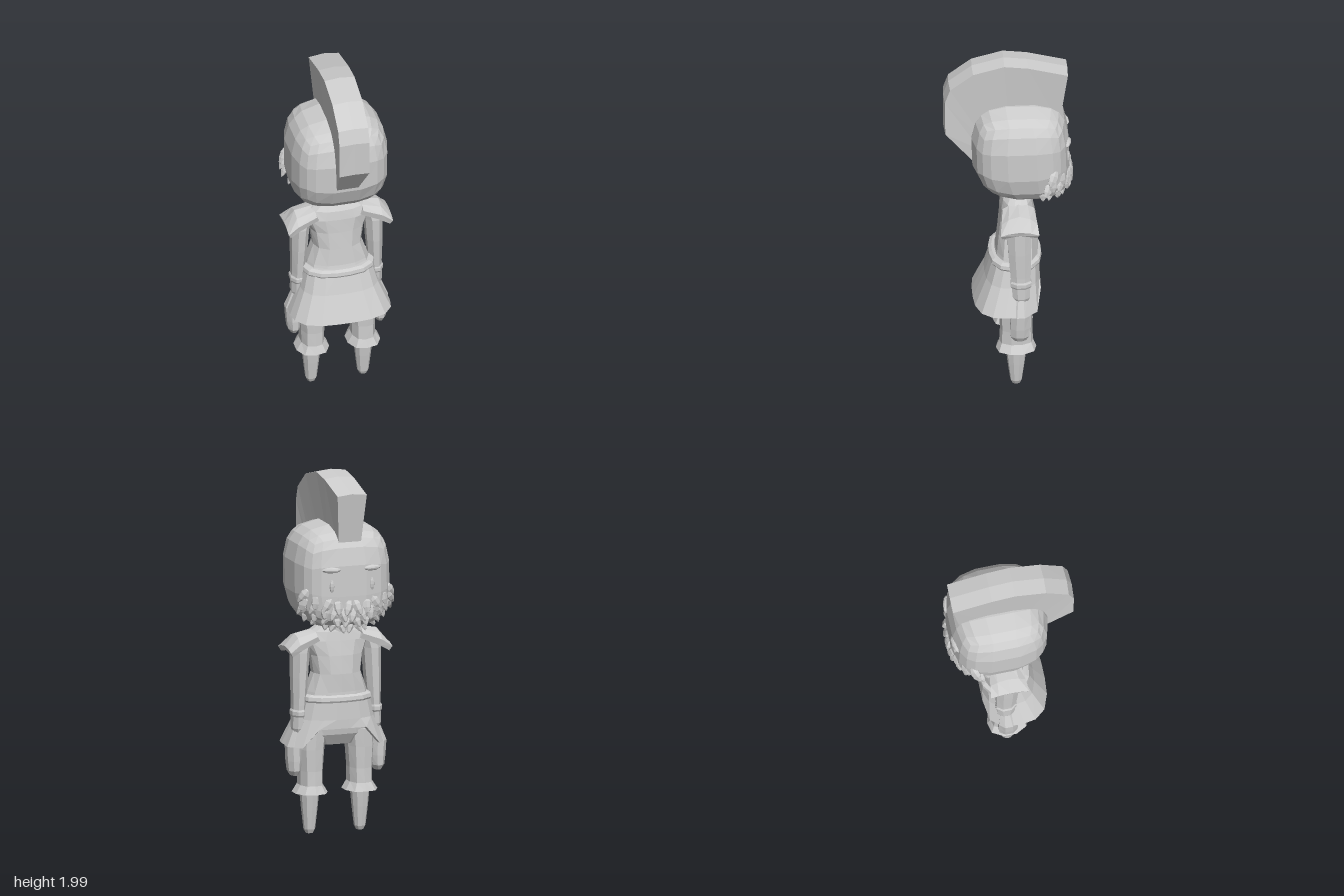
import * as THREE from 'three';

const clay = new THREE.MeshStandardMaterial({ color: 0xcccccc });
clay.name = 'clay grey';
clay.flatShading = true;

// Rounded horizontal ring of points; p = 2 is an ellipse, higher is boxier
function ring(cx, y, cz, rx, rz, n = 12, p = 2.6) {
  const pts = [];
  for (let i = 0; i < n; i++) {
    const a = ((i + 0.5) / n) * Math.PI * 2, c = Math.cos(a), s = Math.sin(a);
    const k = Math.pow(Math.abs(c) ** p + Math.abs(s) ** p, -1 / p);
    pts.push([cx + rx * k * c, y, cz + rz * k * s]);
  }
  return pts;
}

// Closed skin over a row of equal cross-sections, turned outward by its volume
function loft(rings) {
  const tris = [], n = rings[0].length;
  for (let r = 0; r < rings.length - 1; r++) {
    for (let i = 0; i < n; i++) {
      const j = (i + 1) % n;
      const a = rings[r][i], b = rings[r][j], c = rings[r + 1][j], d = rings[r + 1][i];
      tris.push([a, b, c], [a, c, d]);
    }
  }
  const cap = (pts, flip) => {
    const m = [0, 1, 2].map((k) => pts.reduce((s, q) => s + q[k], 0) / n);
    pts.forEach((q, i) => {
      const w = pts[(i + 1) % n];
      tris.push(flip ? [m, w, q] : [m, q, w]);
    });
  };
  cap(rings[0], true);
  cap(rings[rings.length - 1], false);
  const volume = tris.reduce((s, [a, b, c]) => s
    + a[0] * (b[1] * c[2] - b[2] * c[1])
    + a[1] * (b[2] * c[0] - b[0] * c[2])
    + a[2] * (b[0] * c[1] - b[1] * c[0]), 0);
  const out = tris.flatMap(([a, b, c]) => (volume < 0 ? [a, c, b] : [a, b, c])).flat();
  const g = new THREE.BufferGeometry();
  g.setAttribute('position', new THREE.Float32BufferAttribute(out, 3));
  g.computeVertexNormals();
  return g;
}

export function createModel() {
  const model = new THREE.Group();
  const add = (name, geometry, parent = model) => {
    const m = new THREE.Mesh(geometry, clay);
    m.name = name;
    parent.add(m);
    return m;
  };
  const pair = (name, geometry) => {
    add(name + 'Left', geometry);
    add(name + 'Right', geometry).scale.x = -1;
  };
  const stack = (rows, n, p) => loft(rows.map((r) => ring(...r, n, p)));

  // Head: a box rounded to a squarish ball, tucked in under the back
  const head = new THREE.BoxGeometry(2, 2, 2, 5, 5, 5);
  const pos = head.attributes.position;
  const spread = (t) => Math.sign(t) * (Math.abs(t) > 0.9 ? 1 : Math.abs(t) > 0.4 ? 0.7 : 0.3);
  for (let i = 0; i < pos.count; i++) {
    const v = [spread(pos.getX(i)), spread(pos.getY(i)), spread(pos.getZ(i))];
    const k = Math.pow(v.reduce((s, t) => s + Math.abs(t) ** 3, 0), -1 / 3);
    const [x, y, z] = v.map((t) => t * k);
    pos.setXYZ(i, x * 0.272, 1.45 + y * 0.285, -0.055 + z * 0.268 - (y < 0 ? 0.065 * y * y : 0));
  }
  head.computeVertexNormals();
  add('head', head);

  // Crest: outer and inner rim points (z, y), wider along the outer rim
  const crest = [
    [0.35, 1.57, 0.2, 1.38], [0.353, 1.77, 0.16, 1.45], [0.325, 1.85, 0.13, 1.5],
    [0.2, 1.945, 0.07, 1.55], [0.03, 1.99, 0, 1.58], [-0.1, 1.975, -0.1, 1.6],
    [-0.315, 1.92, -0.27, 1.6],
  ];
  add('crest', loft(crest.map(([oz, oy, iz, iy]) => {
    const dz = oz - iz, dy = oy - iy, l = Math.hypot(dz, dy);
    return [[-0.084, oy, oz], [0, oy + 0.01 * dy / l, oz + 0.01 * dz / l], [0.084, oy, oz],
      [0.06, iy, iz], [-0.06, iy, iz]];
  })));

  // Eyes and eyebrows
  const eye = new THREE.SphereGeometry(1, 8, 6);
  eye.scale(0.014, 0.036, 0.012).translate(0.115, 1.425, -0.311);
  pair('eye', eye);
  const brow = new THREE.SphereGeometry(1, 8, 6);
  brow.scale(0.052, 0.016, 0.018).rotateY(-0.2).translate(0.118, 1.515, -0.312);
  pair('eyebrow', brow);

  // Beard: rows of pointed tufts around the jaw, rising to the cheeks
  const beard = new THREE.Group();
  beard.name = 'beard';
  model.add(beard);
  const tuft = new THREE.SphereGeometry(1, 6, 5);
  const tp = tuft.attributes.position;
  for (let i = 0; i < tp.count; i++) {
    const y = tp.getY(i), w = y < 0 ? 1 + 0.5 * y : 1;
    tp.setXYZ(i, tp.getX(i) * w * 0.03, y * 0.052, tp.getZ(i) * w * 0.022);
  }
  for (let row = 0; row < 4; row++) {
    const count = 11 - (row % 2);
    for (let i = 0; i < count; i++) {
      const t = (i / (count - 1)) * 2 - 1;
      const m = add('beardTuft', tuft, beard);
      const width = [0.215, 0.245, 0.25, 0.25][row];
      const depth = [-0.27, -0.3, -0.322, -0.325][row];
      m.position.set(t * width, 1.2 + row * 0.035 + 0.06 * t * t, depth + 0.1 * Math.abs(t) ** 2.5);
      m.rotation.set(0.4, -t * 0.9, t * 0.7 + (i % 2 ? 0.25 : -0.25));
    }
  }

  // Neck and torso
  add('neck', stack([[0, 1.1, -0.05, 0.09, 0.07], [0, 1.22, -0.06, 0.08, 0.065]], 10, 2));
  add('torso', stack([
    [0, 0.74, -0.035, 0.185, 0.125], [0, 0.8, -0.04, 0.17, 0.115],
    [0, 0.9, -0.045, 0.135, 0.11], [0, 1.0, -0.045, 0.15, 0.1],
    [0, 1.08, -0.04, 0.185, 0.09], [0, 1.13, -0.04, 0.15, 0.08], [0, 1.165, -0.045, 0.1, 0.06],
  ], 14));

  // Belt and flared skirt, its hem raised at the front
  add('belt', stack([
    [0, 0.745, -0.03, 0.198, 0.14], [0, 0.755, -0.03, 0.204, 0.145],
    [0, 0.775, -0.03, 0.2, 0.142], [0, 0.785, -0.03, 0.18, 0.125],
  ], 16));
  const hem = (pts) => pts.map(([x, y, z]) => (z < -0.1 && Math.abs(x) < 0.2
    ? [x, 0.6, -0.165] : [x, y, Math.max(z, -0.16)]));
  add('skirt', loft([
    ring(0, 0.765, -0.03, 0.185, 0.13, 20, 3), ring(0, 0.65, -0.015, 0.215, 0.15, 20, 3),
    hem(ring(0, 0.5, 0.01, 0.28, 0.19, 20, 3)),
    hem(ring(0, 0.5, 0.01, 0.265, 0.175, 20, 3)).map(([x, y, z]) => [x, y + 0.005, z]),
    ring(0, 0.64, -0.015, 0.19, 0.13, 20, 3),
  ]));

  // Hips, trouser legs with flared cuffs, and tapered feet
  add('hips', stack([
    [0, 0.5, -0.03, 0.14, 0.06], [0, 0.56, -0.03, 0.2, 0.095], [0, 0.7, -0.03, 0.185, 0.12],
  ], 14));
  pair('trouserLeg', stack([
    [0.135, 0.58, -0.03, 0.08, 0.095], [0.142, 0.48, -0.03, 0.075, 0.092],
    [0.142, 0.36, -0.03, 0.066, 0.088], [0.142, 0.28, -0.03, 0.065, 0.092],
    [0.143, 0.235, -0.03, 0.093, 0.11], [0.145, 0.245, -0.03, 0.05, 0.06],
  ], 10));
  pair('foot', stack([
    [0.145, 0.26, -0.03, 0.054, 0.06], [0.145, 0.14, -0.03, 0.043, 0.047],
    [0.145, 0.03, -0.03, 0.031, 0.032], [0.145, 0.008, -0.03, 0.02, 0.022],
  ], 10));

  // Sleeves, cuffs and hands
  pair('arm', stack([
    [0.185, 1.09, -0.045, 0.045, 0.06], [0.205, 1.02, -0.043, 0.05, 0.068],
    [0.21, 0.88, -0.045, 0.045, 0.064], [0.215, 0.73, -0.05, 0.037, 0.056],
    [0.22, 0.6, -0.053, 0.034, 0.048], [0.22, 0.57, -0.053, 0.024, 0.036],
  ], 8));
  pair('cuff', stack([
    [0.219, 0.665, -0.052, 0.037, 0.053], [0.218, 0.675, -0.052, 0.042, 0.059],
    [0.218, 0.695, -0.052, 0.042, 0.059], [0.217, 0.705, -0.052, 0.037, 0.054],
  ], 8));
  pair('hand', stack([
    [0.222, 0.59, -0.05, 0.028, 0.036], [0.243, 0.5, -0.048, 0.044, 0.052],
    [0.24, 0.42, -0.045, 0.042, 0.055], [0.24, 0.365, -0.045, 0.035, 0.052],
    [0.24, 0.338, -0.045, 0.02, 0.034],
  ], 8));

  // Shoulder pads: thin arched plates sloping outward
  const arch = (x, y, half, drop, thick) => {
    const top = [-1, -0.6, 0, 0.6, 1].map((t) => [x, y - drop * t * t, -0.043 + half * t]);
    const under = top.map(([a, b, c]) => [a - thick * 0.6, b - thick, -0.043 + (c + 0.043) * 0.9]);
    return [...top, ...under.reverse()];
  };
  pair('shoulderPad', loft([
    arch(0.13, 1.14, 0.085, 0.03, 0.025), arch(0.235, 1.122, 0.098, 0.05, 0.03),
    arch(0.292, 1.055, 0.105, 0.022, 0.025),
  ]));

  return model;
}
